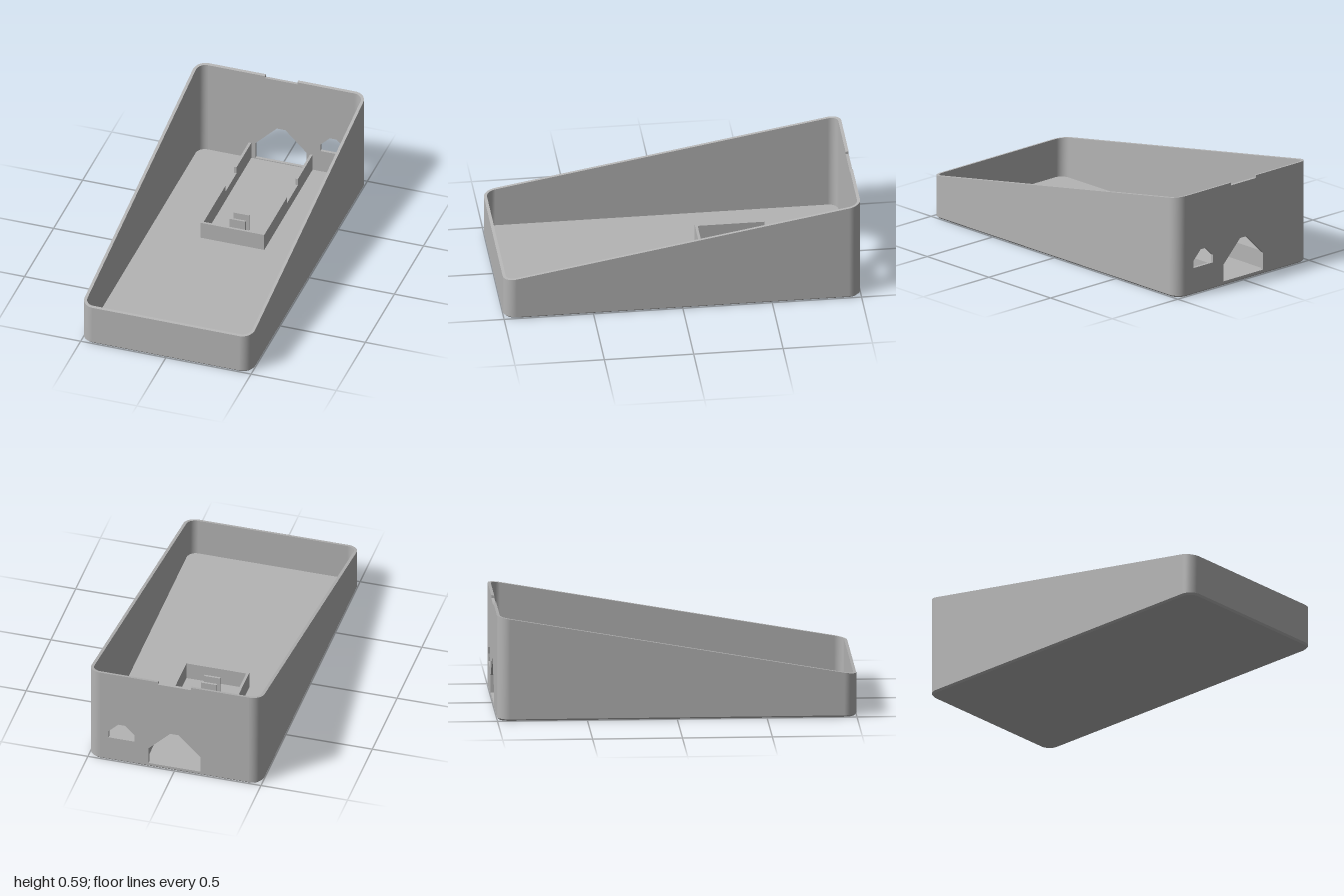
import * as THREE from 'three';

const HX = 0.5, HZ = 1, R = 0.07, WALL = 0.017, FLOOR = 0.02, CHAMFER = 0.01;
const topY = (z) => 0.415 - 0.175 * z; // sloping rim

// Rounded-rectangle loop in plan, starting and ending on the back edge
function loop(inset, y) {
  const pts = [], n = 10;
  [[1, -1], [1, 1], [-1, 1], [-1, -1]].forEach(([sx, sz], c) => {
    for (let i = 0; i <= n; i++) {
      const a = (c - 1 + i / n) * Math.PI / 2;
      const x = sx * (HX - R) + (R - inset) * Math.cos(a);
      const z = sz * (HZ - R) + (R - inset) * Math.sin(a);
      pts.push(new THREE.Vector3(x, typeof y === 'function' ? y(z) : y, z));
    }
  });
  return pts;
}

// Band of quads between two loops
function strip(lower, upper, closed = false) {
  const n = lower.length, index = [];
  for (let i = 0; i < (closed ? n : n - 1); i++) {
    const j = (i + 1) % n;
    index.push(i, n + i, j, n + i, n + j, j);
  }
  const g = new THREE.BufferGeometry().setFromPoints([...lower, ...upper]);
  g.setIndex(index);
  g.computeVertexNormals();
  return g;
}

// Flat plate filling a loop, facing up or down
function plate(inset, y, up) {
  const shape = new THREE.Shape(loop(inset, 0).map((p) => new THREE.Vector2(p.x, p.z)));
  return new THREE.ShapeGeometry(shape).rotateX(up ? -Math.PI / 2 : Math.PI / 2).translate(0, y, 0);
}

const path = (pts) => new THREE.Path(pts.map(([x, y]) => new THREE.Vector2(x, y)));

export function createModel() {
  const model = new THREE.Group();
  const grey = new THREE.MeshStandardMaterial({ color: 0xb4b4b4 });
  grey.name = 'grey plastic';

  const add = (name, geometry, parent = model) => {
    const mesh = new THREE.Mesh(geometry, grey);
    mesh.name = name;
    parent.add(mesh);
    return mesh;
  };
  const box = (name, x0, x1, y0, y1, z0, z1, parent) =>
    add(name, new THREE.BoxGeometry(x1 - x0, y1 - y0, z1 - z0), parent)
      .position.set((x0 + x1) / 2, (y0 + y1) / 2, (z0 + z1) / 2);

  // Base: underside, chamfered edge and inner floor
  add('underside', plate(CHAMFER, 0, false));
  add('bottomChamfer', strip(loop(CHAMFER, 0), loop(0, CHAMFER), true));
  add('innerFloor', plate(WALL, FLOOR, true));

  // Front, side and corner walls
  const rings = [loop(0, CHAMFER), loop(0, topY), loop(WALL, topY), loop(WALL, FLOOR)];
  ['outerWall', 'rim', 'innerWall'].forEach((name, i) => add(name, strip(rings[i], rings[i + 1])));

  // Back panel with a rim notch and two peaked openings
  const w = HX - R, h = topY(-HZ), notch = 0.095, notchY = 0.574;
  const panel = new THREE.Shape(path([
    [-w, CHAMFER], [w, CHAMFER], [w, h], [notch, h], [notch, notchY],
    [-notch, notchY], [-notch, h], [-w, h],
  ]).getPoints());
  const opening = (cx, half, flat, y0, y1, y2) => path([
    [cx - half, y0], [cx - half, y1], [cx - flat, y2],
    [cx + flat, y2], [cx + half, y1], [cx + half, y0], [cx - half, y0],
  ]);
  panel.holes.push(
    opening(0, 0.15, 0.025, 0.025, 0.125, 0.25),
    opening(0.305, 0.075, 0.02, 0.155, 0.198, 0.253),
  );
  const back = new THREE.ExtrudeGeometry(panel, { depth: WALL, bevelEnabled: false }).translate(0, 0, -HZ);
  const pos = back.attributes.position;
  for (let i = 0; i < pos.count; i++) {
    if (pos.getY(i) > 0.58) pos.setY(i, topY(pos.getZ(i)));
  }
  back.computeVertexNormals();
  add('backWall', back);

  // U-shaped cradle with lowered gaps in its side rails
  const cradle = new THREE.Group();
  cradle.name = 'cradle';
  model.add(cradle);
  const zBack = -HZ + WALL, top = 0.12, low = 0.08, t = 0.015;
  for (const [side, x] of [['right', -0.19], ['left', 0.17]]) {
    box(side + 'RailBack', x, x + t, FLOOR, top, zBack, -0.73, cradle);
    box(side + 'RailGap', x, x + t, FLOOR, low, -0.73, -0.54, cradle);
    box(side + 'RailFront', x, x + t, FLOOR, top, -0.54, -0.15, cradle);
  }
  box('cradleEnd', -0.175, 0.17, FLOOR, top, -0.165, -0.15, cradle);

  // Two small retaining fins
  for (const z of [-0.31, -0.245]) box('fin', -0.048, 0.043, FLOOR, top, z - 0.006, z + 0.006, cradle);

  return model;
}
